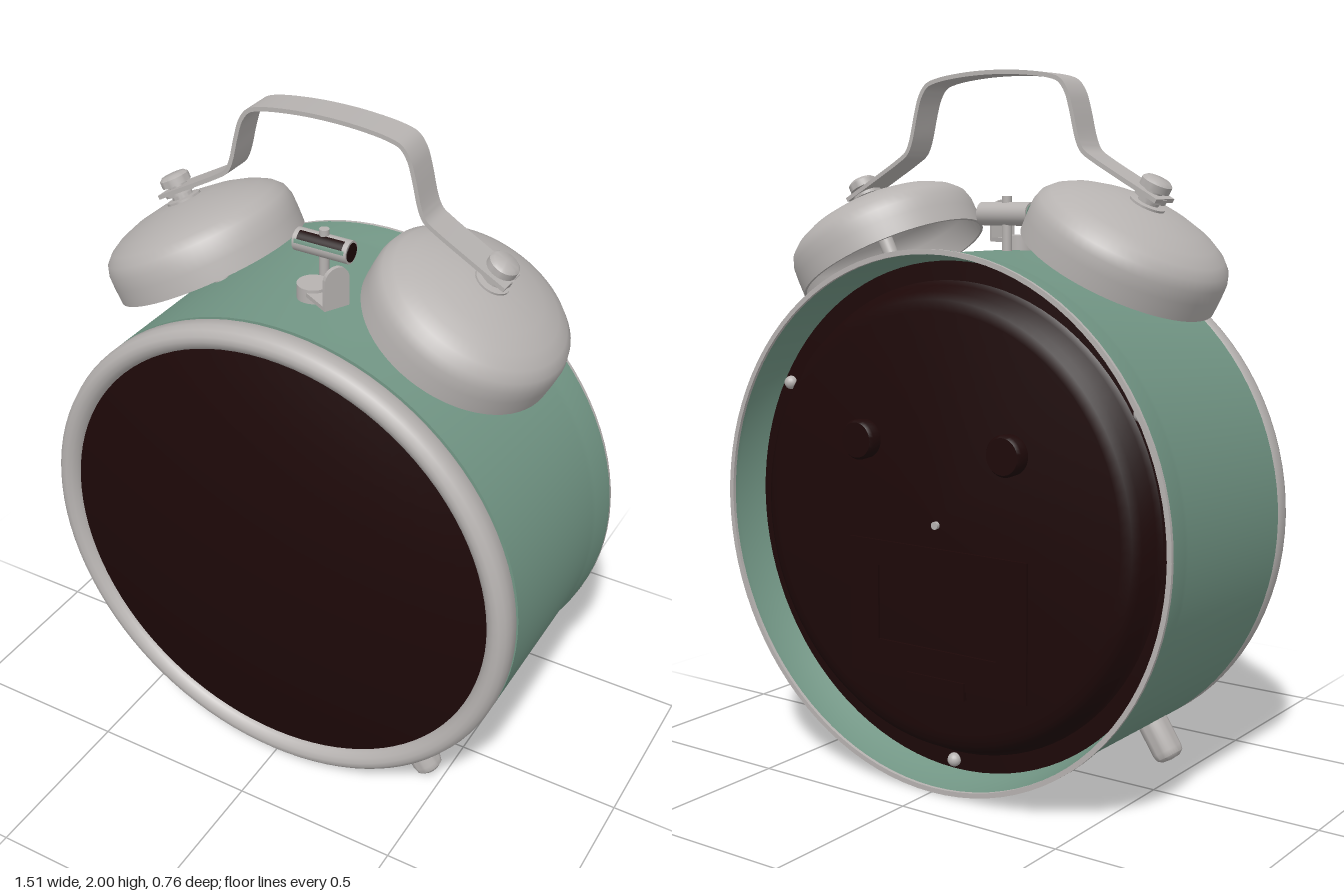
import * as THREE from 'three';
import { toCreasedNormals } from 'three/addons/utils/BufferGeometryUtils.js';

const material = (name, color) => {
  const m = new THREE.MeshStandardMaterial({ color, side: THREE.DoubleSide });
  m.name = name;
  return m;
};

export function createModel() {
  const green = material('sage green paint', 0x729685);
  const metal = material('pale metal', 0xb6b2b0);
  const dark = material('dark brown', 0x1d0808);

  const clock = new THREE.Group();
  clock.name = 'alarmClock';
  const CY = 0.76; // centre height of the case
  const MZ = -0.037; // depth plane of bells and handle

  const add = (parent, name, geo, mat, x = 0, y = 0, z = 0) => {
    const m = new THREE.Mesh(geo, mat);
    m.name = name;
    m.position.set(x, y, z);
    parent.add(m);
    return m;
  };
  const group = (name, x, y, z) => {
    const g = new THREE.Group();
    g.name = name;
    g.position.set(x, y, z);
    clock.add(g);
    return g;
  };
  const lathe = (pts, seg = 64) => toCreasedNormals(
    new THREE.LatheGeometry(pts.map(p => new THREE.Vector2(...p)), seg), 0.7);
  // Profile of [radius, z], turned about the front-back axis
  const turned = (pts, seg = 96) => lathe(pts, seg).rotateX(Math.PI / 2);
  const cyl = (r, h, seg = 32) => new THREE.CylinderGeometry(r, r, h, seg);

  // Case: thin shell flaring out at the back
  add(clock, 'caseShell', turned([
    [0.72, -0.255], [0.73, -0.285], [0.745, -0.345], [0.745, -0.368], [0.755, -0.368],
    [0.754, -0.345], [0.745, -0.285], [0.742, -0.265], [0.742, 0.25], [0.67, 0.25],
  ]), green, 0, CY);
  add(clock, 'backRim', turned([
    [0.742, -0.364], [0.742, -0.374], [0.756, -0.374], [0.756, -0.364],
  ]), metal, 0, CY);

  // Front bezel with a rolled inner lip, and domed face
  add(clock, 'bezel', turned([
    [0.69, 0.252], [0.735, 0.252], [0.742, 0.262], [0.742, 0.295], [0.735, 0.315],
    [0.72, 0.327], [0.705, 0.329], [0.69, 0.323], [0.678, 0.312], [0.671, 0.295], [0.671, 0.26],
  ]), metal, 0, CY);
  const dome = [];
  for (let i = 0; i <= 12; i++) {
    const t = 1 - i / 12;
    dome.push([0.674 * t, 0.38 - 0.08 * t * t]);
  }
  add(clock, 'faceDome', turned(dome), dark, 0, CY);

  // Back panel: raised centre inside a sunken gutter
  add(clock, 'backPanel', turned([
    [0, -0.342], [0.59, -0.342], [0.62, -0.336], [0.64, -0.32], [0.655, -0.275], [0.668, -0.262], [0.725, -0.258],
  ]), dark, 0, CY);

  // Battery cover: raised frame and finger tab
  const rect = (C, w, h, cy = 0) => {
    const s = new C();
    s.moveTo(-w / 2, cy - h / 2);
    s.lineTo(w / 2, cy - h / 2);
    s.lineTo(w / 2, cy + h / 2);
    s.lineTo(-w / 2, cy + h / 2);
    s.closePath();
    return s;
  };
  const frame = rect(THREE.Shape, 0.61, 0.39);
  frame.holes.push(rect(THREE.Path, 0.41, 0.215, 0.015));
  add(clock, 'batteryFrame', new THREE.ExtrudeGeometry(frame, { depth: 0.01, bevelEnabled: false }),
    dark, 0, 0.5, -0.349);
  add(clock, 'batteryTab', new THREE.BoxGeometry(0.2, 0.05, 0.02), dark, 0, 0.305, -0.345);

  // Setting knobs, centre pin and panel screws
  for (const s of [-1, 1]) {
    add(clock, 'settingKnob', turned([
      [0.055, -0.34], [0.057, -0.375], [0.05, -0.385], [0, -0.385],
    ], 32), dark, s * 0.25, 0.98);
  }
  add(clock, 'centrePin', cyl(0.011, 0.02, 16).rotateX(Math.PI / 2), metal, 0, CY, -0.343);
  for (const a of [30, 150, 270]) {
    const t = THREE.MathUtils.degToRad(a);
    add(clock, 'panelScrew', new THREE.SphereGeometry(0.02, 16, 12), metal,
      0.693 * Math.cos(t), CY + 0.693 * Math.sin(t), -0.265);
  }

  // Bells with stems and bolts, and splayed legs
  const bell = lathe([
    [0.276, 0], [0.284, 0], [0.285, 0.05], [0.284, 0.085], [0.275, 0.113], [0.252, 0.136],
    [0.215, 0.157], [0.16, 0.176], [0.09, 0.191], [0, 0.198],
    [0, 0.188], [0.155, 0.166], [0.245, 0.126], [0.274, 0.08], [0.276, 0],
  ]);
  const bolt = lathe([
    [0.05, 0.19], [0.05, 0.21], [0.03, 0.212], [0.03, 0.222], [0.045, 0.224], [0.045, 0.24],
    [0.026, 0.242], [0.026, 0.25], [0.043, 0.252], [0.043, 0.272], [0.034, 0.28], [0, 0.282],
  ], 32);
  const leg = lathe([
    [0, -0.86], [0.028, -0.857], [0.041, -0.847], [0.045, -0.83], [0.045, -0.7],
  ], 32);
  for (const s of [-1, 1]) {
    const arm = group(s > 0 ? 'leftBellAssembly' : 'rightBellAssembly', s * 0.388, 1.46, MZ);
    arm.rotation.z = -s * 0.475;
    add(arm, 'bell', bell, metal);
    add(arm, 'bellBolt', bolt, metal, 0, -0.01);
    add(arm, 'bellStem', cyl(0.022, 0.29), metal, 0, 0.045);
    const foot = add(clock, s > 0 ? 'leftLeg' : 'rightLeg', leg, metal, 0, CY, 0.16);
    foot.rotation.z = s * 0.575;
  }

  // Carrying handle: bent flat strip, offset from a mirrored centre line
  const half = [
    [0.53, 1.642], [0.41, 1.709], [0.33, 1.755], [0.302, 1.775], [0.286, 1.805], [0.264, 1.89],
    [0.249, 1.935], [0.226, 1.965], [0.19, 1.978], [0.1, 1.99],
  ];
  const line = [...half.map(([x, y]) => [-x, y]), [0, 1.994], ...half.slice().reverse()];
  const curve = new THREE.CatmullRomCurve3(
    line.map(([x, y]) => new THREE.Vector3(x, y, 0)), false, 'centripetal');
  const upper = [], lower = [];
  for (let i = 0; i <= 80; i++) {
    const p = curve.getPoint(i / 80), t = curve.getTangent(i / 80);
    upper.push(new THREE.Vector2(p.x - t.y * 0.006, p.y + t.x * 0.006));
    lower.unshift(new THREE.Vector2(p.x + t.y * 0.006, p.y - t.x * 0.006));
  }
  const strip = new THREE.ExtrudeGeometry(new THREE.Shape([...upper, ...lower]),
    { depth: 0.095, bevelEnabled: false });
  add(clock, 'handle', toCreasedNormals(strip, 0.7), metal, 0, 0, MZ - 0.0475);

  // Hammer between the bells, with painted ends and underside bands
  const hammer = group('hammer', -0.022, 1.605, MZ);
  add(hammer, 'hammerHead', cyl(0.033, 0.168).rotateZ(Math.PI / 2), metal);
  add(hammer, 'hammerPost', cyl(0.014, 0.17, 20), metal, 0, -0.035);
  add(hammer, 'hammerDarkEnd', cyl(0.027, 0.004).rotateZ(Math.PI / 2), dark, 0.084);
  add(hammer, 'hammerGreenEnd', cyl(0.027, 0.004).rotateZ(Math.PI / 2), green, -0.084);
  // Band around the head; angles run from the front (0) down to the underside (PI / 2)
  const band = (name, width, from, to, mat) => add(hammer, name,
    new THREE.CylinderGeometry(0.034, 0.034, width, 16, 1, true, from - Math.PI * 2, to - from)
      .rotateZ(Math.PI / 2), mat);
  band('hammerGreenBand', 0.155, 0.1, 0.45, green);
  band('hammerDarkBand', 0.14, 0.45, 1.3, dark);

  // Alarm lever: pivot, arm and upright round-topped tab
  const lever = group('alarmLever', 0, 1.5, 0.06);
  lever.rotation.y = -0.5;
  add(lever, 'leverPivot', cyl(0.045, 0.05), metal, 0, 0.018);
  add(lever, 'leverArm', new THREE.BoxGeometry(0.12, 0.012, 0.075), metal, 0.06, 0.028);
  const tab = new THREE.Shape();
  tab.moveTo(-0.0375, 0);
  tab.lineTo(0.0375, 0);
  tab.lineTo(0.0375, 0.082);
  tab.absarc(0, 0.082, 0.0375, 0, Math.PI, false);
  tab.closePath();
  const tabGeo = new THREE.ExtrudeGeometry(tab, { depth: 0.012, bevelEnabled: false, curveSegments: 20 });
  add(lever, 'leverTab', toCreasedNormals(tabGeo.rotateY(Math.PI / 2), 0.7), metal, 0.11, 0.024);

  return clock;
}
